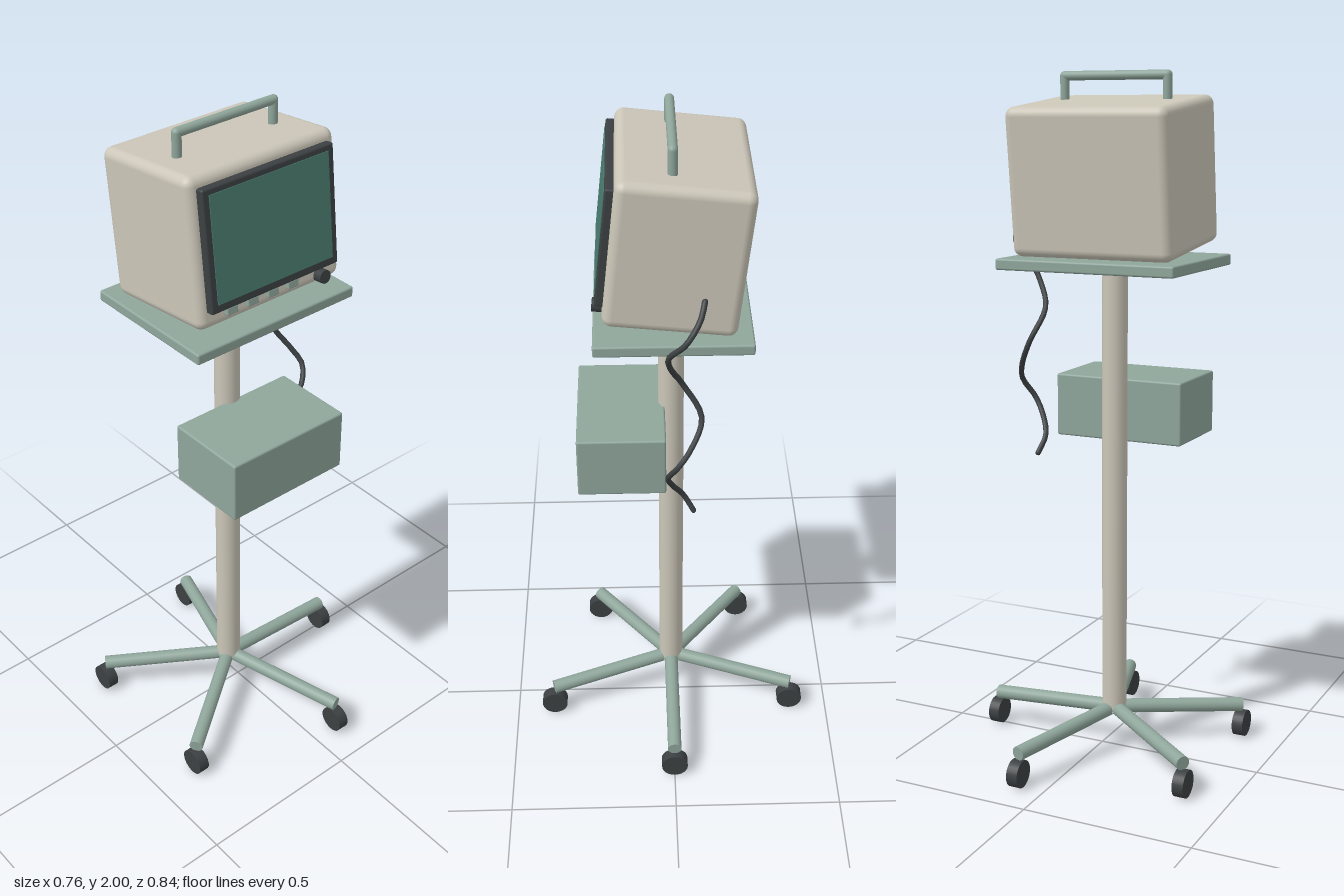
import * as THREE from 'three';
import { RoundedBoxGeometry } from 'three/addons/geometries/RoundedBoxGeometry.js';

const material = (name, color) => {
  const m = new THREE.MeshStandardMaterial({ color });
  m.name = name;
  return m;
};

export function createModel() {
  const model = new THREE.Group();
  model.name = 'monitorOnStand';

  const cream = material('cream', 0xcbc6b8);
  const sage = material('sageGreen', 0x8fa69b);
  const glass = material('screenGreen', 0x4b7d70);
  const dark = material('charcoal', 0x3c4042);

  const add = (parent, name, geometry, mat, x = 0, y = 0, z = 0) => {
    const mesh = new THREE.Mesh(geometry, mat);
    mesh.name = name;
    mesh.position.set(x, y, z);
    parent.add(mesh);
    return mesh;
  };
  const box = (w, h, d, r) => new RoundedBoxGeometry(w, h, d, 3, r);

  // Cylinder running between two points
  const rod = (parent, name, a, b, r, mat) => {
    const dir = b.clone().sub(a);
    const mesh = add(parent, name, new THREE.CylinderGeometry(r, r, dir.length(), 20), mat);
    mesh.position.copy(a).add(b).multiplyScalar(0.5);
    mesh.quaternion.setFromUnitVectors(new THREE.Vector3(0, 1, 0), dir.normalize());
    return mesh;
  };
  const v = (x, y, z) => new THREE.Vector3(x, y, z);

  // Everything but the cable is centred on the pole axis
  const unit = new THREE.Group();
  unit.name = 'unit';
  unit.position.x = -0.04;
  model.add(unit);

  // Five-legged base with wheels
  for (let i = 0; i < 5; i++) {
    const a = (i * Math.PI * 2) / 5;
    const x = 0.4 * Math.cos(a), z = 0.4 * Math.sin(a);
    rod(unit, 'baseLeg', v(0, 0.125, 0), v(x, 0.1, z), 0.021, sage);
    const wheel = add(unit, 'casterWheel', new THREE.CylinderGeometry(0.04, 0.04, 0.034, 24), dark, x, 0.041, z);
    wheel.rotation.z = Math.PI / 2;
  }

  // Pole, shelf and storage box
  rod(unit, 'pole', v(0, 0.115, 0), v(0, 1.46, 0), 0.037, cream);
  add(unit, 'shelf', box(0.542, 0.032, 0.428, 0.006), sage, 0, 1.47, 0);
  add(unit, 'storageBox', box(0.398, 0.185, 0.252, 0.006), sage, 0, 1.037, 0.145);

  // Monitor, leaning back
  const monitor = new THREE.Group();
  monitor.name = 'monitor';
  monitor.position.set(0, 1.712, -0.012);
  monitor.rotation.x = -0.11;
  unit.add(monitor);
  add(monitor, 'monitorCase', box(0.487, 0.415, 0.36, 0.026), cream);
  add(monitor, 'screenBezel', box(0.432, 0.335, 0.03, 0.006), dark, 0, 0.01, 0.187);
  add(monitor, 'screen', new THREE.BoxGeometry(0.392, 0.295, 0.006), glass, 0, 0.013, 0.201);

  // Controls below the screen
  for (let i = 0; i < 4; i++) {
    add(monitor, 'button', box(0.036, 0.022, 0.02, 0.003), sage, -0.143 + i * 0.069, -0.17, 0.184);
  }
  const knob = add(monitor, 'knob', new THREE.CylinderGeometry(0.019, 0.019, 0.032, 20), dark, 0.164, -0.181, 0.191);
  knob.rotation.x = Math.PI / 2;

  // Carrying handle
  rod(unit, 'handleBar', v(-0.158, 1.987, 0), v(0.158, 1.987, 0), 0.013, sage);
  for (const s of [-1, 1]) {
    rod(unit, 'handlePost', v(s * 0.158, 1.9, 0), v(s * 0.158, 1.987, 0), 0.013, sage);
    add(unit, 'handleCorner', new THREE.SphereGeometry(0.013, 16, 10), sage, s * 0.158, 1.987, 0);
  }

  // Hanging cable
  const path = new THREE.CatmullRomCurve3([
    v(0.214, 1.61, -0.08), v(0.24, 1.57, -0.068), v(0.262, 1.51, -0.03),
    v(0.237, 1.455, 0.013), v(0.205, 1.4, 0.008), v(0.172, 1.33, -0.025),
    v(0.198, 1.235, -0.077), v(0.243, 1.155, -0.043), v(0.258, 1.11, -0.01),
    v(0.23, 1.055, 0.016), v(0.195, 1.0, 0), v(0.172, 0.95, -0.03), v(0.183, 0.902, -0.058),
  ]);
  add(model, 'cable', new THREE.TubeGeometry(path, 40, 0.008, 10), dark);
  for (const t of [0, 1]) {
    const p = path.getPoint(t);
    add(model, 'cableEnd', new THREE.SphereGeometry(0.008, 10, 8), dark, p.x, p.y, p.z);
  }

  return model;
}
